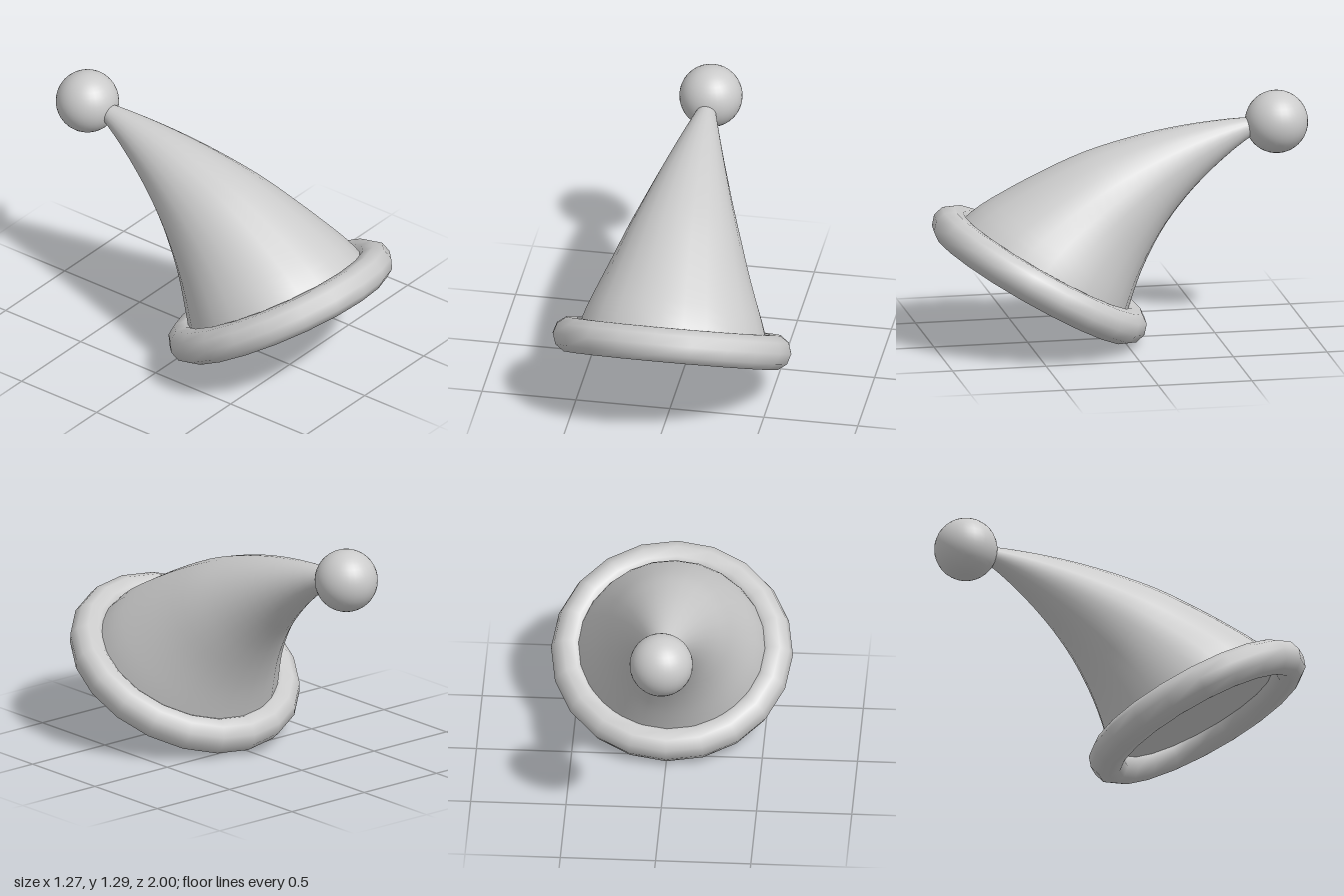
import * as THREE from 'three';

const material = new THREE.MeshStandardMaterial({ color: 0xcccccc });

// Bent cone: rings spanned between an upper and a lower outline in the side plane
function bentCone(pairs, sides, rings, shiftX) {
  const upper = new THREE.CatmullRomCurve3(pairs.map(([z, y]) => new THREE.Vector3(0, y, z)));
  const lower = new THREE.CatmullRomCurve3(pairs.map(([, , z, y]) => new THREE.Vector3(0, y, z)));
  const positions = [], index = [];
  for (let i = 0; i <= rings; i++) {
    const t = i / rings;
    const top = upper.getPoint(t), bottom = lower.getPoint(t);
    const center = top.clone().add(bottom).multiplyScalar(0.5);
    const spoke = top.sub(center);
    const radius = spoke.length();
    for (let j = 0; j < sides; j++) {
      const a = (j / sides) * Math.PI * 2;
      const p = center.clone().addScaledVector(spoke, Math.cos(a));
      positions.push(shiftX * t + radius * Math.sin(a), p.y, p.z);
      if (i === rings) continue;
      const k = i * sides + j, n = i * sides + ((j + 1) % sides);
      index.push(k, n, k + sides, n, n + sides, k + sides);
    }
  }
  const geometry = new THREE.BufferGeometry();
  geometry.setAttribute('position', new THREE.Float32BufferAttribute(positions, 3));
  geometry.setIndex(index);
  geometry.computeVertexNormals();
  return geometry;
}

export function createModel() {
  const hat = new THREE.Group();
  hat.name = 'pointedHat';
  const add = (name, geometry, x, y, z, tilt = 0) => {
    const mesh = new THREE.Mesh(geometry, material);
    mesh.name = name;
    mesh.position.set(x, y, z);
    mesh.rotation.x = tilt;
    hat.add(mesh);
  };

  // Rolled brim, tipped up towards the front
  add('brim', new THREE.TorusGeometry(0.54, 0.095, 10, 20), 0, 0.37, 0.4375, -Math.PI * 2 / 3);

  // Flat underside closing the hat inside the brim
  add('underside', new THREE.CircleGeometry(0.51, 24), 0, 0.37, 0.4375, Math.PI / 3);

  // Drooping body, as upper z, y and lower z, y from brim to tip
  add('body', bentCone([
    [0.88, 0.625, -0.005, 0.115],
    [0.76, 0.727, -0.04, 0.225],
    [0.6, 0.82, -0.08, 0.335],
    [0.4, 0.92, -0.12, 0.425],
    [0.2, 1.005, -0.17, 0.52],
    [0, 1.065, -0.24, 0.63],
    [-0.2, 1.11, -0.34, 0.755],
    [-0.4, 1.14, -0.47, 0.885],
    [-0.6, 1.157, -0.62, 1.008],
    [-0.76, 1.16, -0.76, 1.1],
  ], 24, 24, -0.02), 0, 0, 0);

  // Ball on the tip
  add('pompom', new THREE.SphereGeometry(0.166, 32, 20), -0.02, 1.13, -0.833);

  return hat;
}
